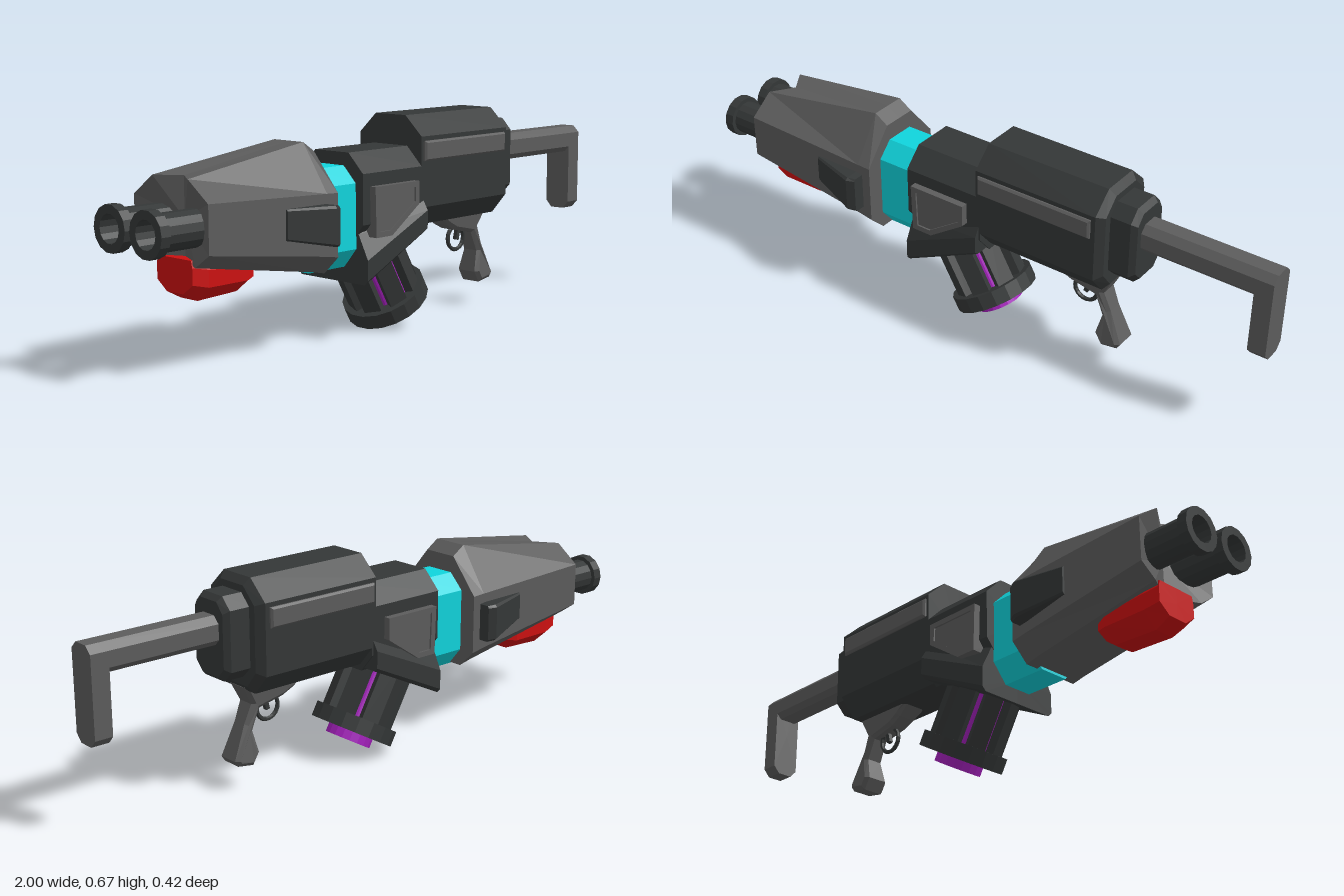
import * as THREE from 'three';

const mat = (color) => new THREE.MeshStandardMaterial({ color, flatShading: true });

// Ring of ten corners [z, y, dx], from top centre round by +z; notch pushes the middle along x
function ring(x, half, topHalf, bottomHalf, yBottom, yLow, yHigh, yTop, notch = 0) {
  const side = [[topHalf, yTop, 0], [half, yHigh, 0], [half, yLow, 0], [bottomHalf, yBottom, 0]];
  const other = side.map(([z, y, d]) => [-z, y, d]).reverse();
  return { x, pts: [[0, yTop, notch], ...side, [0, yBottom, notch], ...other] };
}

// Skin through rings ordered by increasing x, closed at both ends
function loft(rings) {
  const v = [];
  const tri = (...c) => c.forEach((p) => v.push(...p));
  const rows = rings.map((r) => r.pts.map(([z, y, d]) => [r.x + d, y, z]));
  const n = rows[0].length;
  const mid = (row) => [row[0][0], (row[0][1] + row[n / 2][1]) / 2, 0];
  const last = rows[rows.length - 1];
  for (let i = 0; i < n; i++) {
    const j = (i + 1) % n;
    for (let k = 0; k + 1 < rows.length; k++) {
      const a = rows[k], b = rows[k + 1];
      tri(a[i], a[j], b[j]);
      tri(a[i], b[j], b[i]);
    }
    tri(mid(last), last[i], last[j]);
    tri(mid(rows[0]), rows[0][j], rows[0][i]);
  }
  const g = new THREE.BufferGeometry();
  g.setAttribute('position', new THREE.Float32BufferAttribute(v, 3));
  g.computeVertexNormals();
  return g;
}

const shapeOf = (pts) => new THREE.Shape(pts.map(([x, y]) => new THREE.Vector2(x, y)));

// Side profile extruded symmetrically about z = 0
function slab(shape, half, bevel = 0) {
  const g = new THREE.ExtrudeGeometry(shape, {
    depth: 2 * (half - bevel), bevelEnabled: bevel > 0, bevelThickness: bevel,
    bevelSize: bevel, bevelOffset: -bevel, bevelSegments: 1, curveSegments: 8,
  });
  return g.translate(0, 0, -(half - bevel));
}

export function createModel() {
  const dark = mat(0x343737), grey = mat(0x5c5c5c), cyan = mat(0x10d4dc);
  const red = mat(0xcc1010), purple = mat(0xa521bd);
  const model = new THREE.Group();
  model.name = 'blaster';
  const add = (name, geometry, material, parent = model) => {
    const m = new THREE.Mesh(geometry, material);
    m.name = name;
    parent.add(m);
    return m;
  };

  // Twin hollow barrels with muzzle flanges
  const barrel = [[0.054, 0.76], [0.054, 0.968], [0.068, 0.968], [0.068, 1], [0.042, 1], [0.042, 0.9], [0, 0.9]];
  for (const s of [-1, 1]) {
    const g = new THREE.LatheGeometry(barrel.map(([r, y]) => new THREE.Vector2(r, y)), 14);
    g.rotateZ(Math.PI / 2).translate(0, 0.421, s * 0.077);
    add(s > 0 ? 'frontBarrel' : 'backBarrel', g, dark);
  }

  // Front shroud with notched nose
  add('frontShroud', loft([
    ring(-0.85, 0.157, 0.075, 0.1, 0.315, 0.355, 0.495, 0.555, 0.05),
    ring(-0.4, 0.157, 0.06, 0.1, 0.24, 0.293, 0.477, 0.62),
    ring(-0.355, 0.157, 0.06, 0.1, 0.23, 0.285, 0.475, 0.59),
  ]), grey);

  // Tapered blocks on both sides of the shroud
  add('sideBlocks', loft([
    ring(-0.565, 0.165, 0.16, 0.16, 0.36, 0.365, 0.445, 0.45),
    ring(-0.41, 0.208, 0.2, 0.2, 0.328, 0.335, 0.44, 0.448),
    ring(-0.385, 0.195, 0.19, 0.19, 0.325, 0.332, 0.438, 0.445),
  ]), dark);

  // Red block under the nose
  add('underBlock', loft([
    ring(-0.84, 0.075, 0.07, 0.035, 0.232, 0.262, 0.31, 0.33),
    ring(-0.79, 0.085, 0.07, 0.035, 0.206, 0.25, 0.3, 0.33),
    ring(-0.645, 0.085, 0.07, 0.035, 0.212, 0.25, 0.29, 0.32),
    ring(-0.61, 0.07, 0.06, 0.035, 0.235, 0.255, 0.28, 0.3),
  ]), red);

  // Glowing collar between shroud and body
  add('energyCollar', loft([-0.37, -0.2].map((x) => ring(x, 0.1, 0.05, 0.05, 0.225, 0.285, 0.485, 0.535))), cyan);

  // Main body
  add('forwardBody', loft([-0.22, 0.06].map((x) => ring(x, 0.13, 0.07, 0.08, 0.3, 0.36, 0.515, 0.575))), dark);
  add('rearBody', loft([
    ring(0.045, 0.13, 0.063, 0.075, 0.32, 0.385, 0.607, 0.67),
    ring(0.47, 0.13, 0.063, 0.075, 0.32, 0.385, 0.607, 0.67),
    ring(0.49, 0.104, 0.053, 0.063, 0.343, 0.395, 0.597, 0.648),
  ]), dark);
  add('rearCap', loft([
    ring(0.48, 0.08, 0.045, 0.045, 0.37, 0.405, 0.59, 0.627),
    ring(0.558, 0.08, 0.045, 0.045, 0.37, 0.405, 0.59, 0.627),
    ring(0.575, 0.066, 0.038, 0.038, 0.385, 0.415, 0.58, 0.612),
  ]), dark);
  add('bodySidePlates', slab(shapeOf([[0.055, 0.53], [0.455, 0.53], [0.455, 0.593], [0.055, 0.593]]), 0.141, 0.006), grey);

  // Framed trapezoid panels on the forward body
  const frame = shapeOf([[-0.185, 0.32], [-0.115, 0.32], [0.01, 0.405], [0.01, 0.475], [-0.19, 0.475]]);
  const inset = [[-0.168, 0.337], [-0.12, 0.337], [-0.007, 0.413], [-0.007, 0.458], [-0.172, 0.458]];
  frame.holes.push(new THREE.Path(inset.map(([x, y]) => new THREE.Vector2(x, y))));
  add('panelFrames', slab(frame, 0.153), grey);
  add('panelInsets', slab(shapeOf(inset), 0.147), grey);

  // Slanted magazine housing
  add('magazineHousing', loft([
    ring(-0.218, 0.148, 0.11, 0.135, 0.178, 0.192, 0.255, 0.33),
    ring(0.055, 0.148, 0.11, 0.135, 0.31, 0.322, 0.378, 0.44),
  ]), dark);

  // Drum magazine: glowing core, ribs, end flange
  const magazine = new THREE.Group();
  magazine.name = 'magazine';
  magazine.position.set(0.02, 0.092, 0);
  magazine.rotation.z = Math.PI / 6;
  model.add(magazine);
  add('magazineCore', new THREE.CylinderGeometry(0.093, 0.093, 0.24, 16).translate(0, 0.12, 0), purple, magazine);
  add('magazineFlange', new THREE.CylinderGeometry(0.136, 0.136, 0.05, 18), dark, magazine);
  add('magazineEnd', new THREE.CylinderGeometry(0.075, 0.075, 0.06, 18).translate(0, -0.025, 0), purple, magazine);
  for (let i = 0; i < 8; i++) {
    const rib = new THREE.BoxGeometry(0.04, 0.24, 0.058).translate(0.094, 0.12, 0);
    add('magazineRib', rib.rotateY((i + 0.5) * Math.PI / 4), dark, magazine);
  }

  // Pistol grip, pinched at the neck
  const grip = slab(shapeOf([
    [0.24, 0.33], [0.48, 0.33], [0.45, 0.27], [0.475, 0.21], [0.52, 0.105], [0.508, 0.087],
    [0.452, 0.078], [0.43, 0.115], [0.448, 0.185], [0.42, 0.25], [0.33, 0.27], [0.29, 0.29],
  ]), 0.047, 0.012);
  const p = grip.attributes.position;
  for (let i = 0; i < p.count; i++) {
    const t = Math.min(1, Math.abs(p.getY(i) - 0.225) / 0.1);
    p.setZ(i, p.getZ(i) * (0.6 + 0.35 * t));
  }
  grip.computeVertexNormals();
  add('pistolGrip', grip, grey);

  // Trigger ring
  add('triggerGuard', new THREE.TorusGeometry(0.04, 0.007, 6, 18).translate(0.369, 0.236, 0), dark);
  add('trigger', new THREE.BoxGeometry(0.014, 0.06, 0.014).rotateZ(-0.25).translate(0.378, 0.258, 0), dark);

  // Stock rod and shoulder hook
  add('stockRod', loft([0.55, 0.96].map((x) => ring(x, 0.047, 0.025, 0.03, 0.482, 0.5, 0.548, 0.57))), grey);
  add('shoulderHook', loft([0.942, 1].map((x) => ring(x, 0.047, 0.025, 0.025, 0.276, 0.3, 0.548, 0.57))), grey);

  return model;
}
